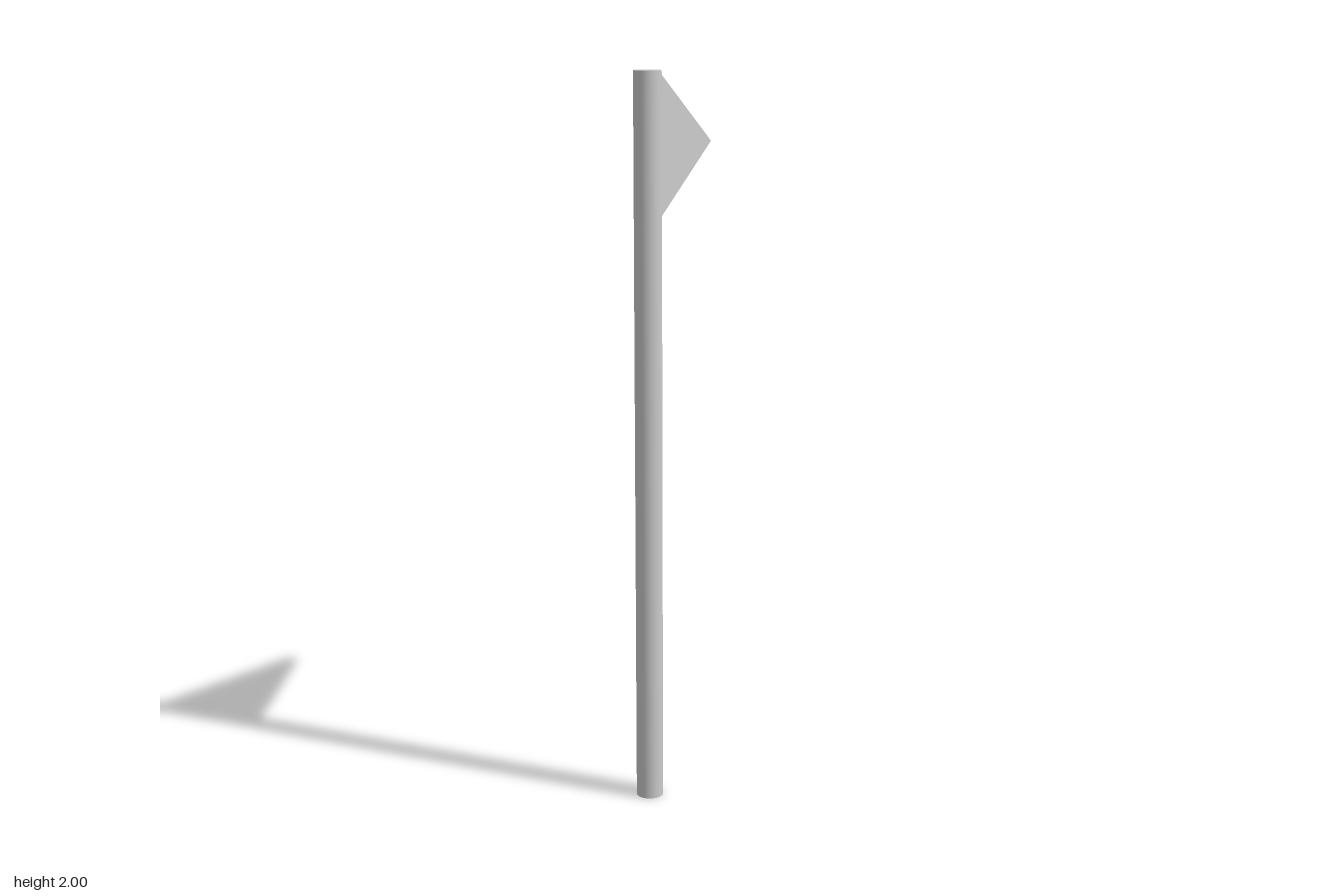
import * as THREE from 'three';

export function createModel() {
  const group = new THREE.Group();
  const material = new THREE.MeshStandardMaterial({ color: 0xcccccc });
  const poleRadius = 0.037, poleHeight = 2, poleZ = 0.243;

  // Round upright pole
  const pole = new THREE.Mesh(
    new THREE.CylinderGeometry(poleRadius, poleRadius, poleHeight, 48), material);
  pole.name = 'pole';
  pole.position.set(0, poleHeight / 2, poleZ);
  group.add(pole);

  // Thick triangular pennant, drawn outward from the pole axis
  const thickness = 0.041;
  const outline = new THREE.Shape([
    new THREE.Vector2(0.031, 1.61),
    new THREE.Vector2(0.523, 1.783),
    new THREE.Vector2(0.031, 1.998),
  ]);
  const geometry = new THREE.ExtrudeGeometry(outline, { depth: thickness, bevelEnabled: false });
  geometry.translate(0, 0, -thickness / 2);
  const pennant = new THREE.Mesh(geometry, material);
  pennant.name = 'pennant';
  pennant.position.z = poleZ;
  pennant.rotation.y = Math.PI / 2 + 0.016; // points backward, turned very slightly to the side
  group.add(pennant);

  return group;
}
